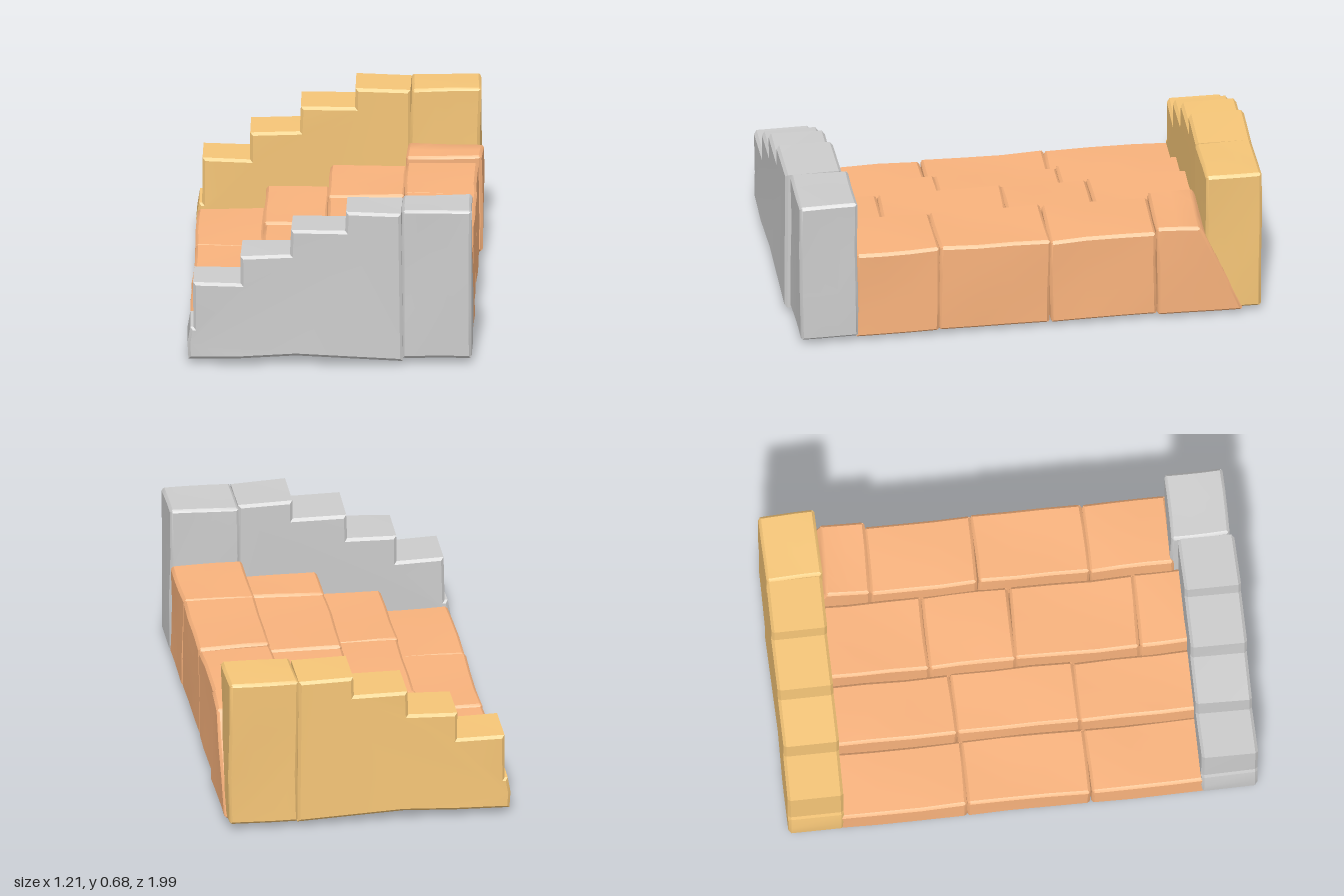
import * as THREE from 'three';
import { mergeVertices, toCreasedNormals } from 'three/addons/utils/BufferGeometryUtils.js';

const mat = (color) => new THREE.MeshStandardMaterial({ color });

// Gentle, repeatable unevenness for the hewn surfaces
const wave = (a, b, c) =>
  Math.sin(a * 9.1 + b * 5.3 + c) * 0.6 + Math.sin(b * 13.7 - a * 7.9 + c * 2.3) * 0.4;

function roughen(geo, amount, seed) {
  const p = geo.attributes.position;
  for (let i = 0; i < p.count; i++) {
    const x = p.getX(i), y = p.getY(i), z = p.getZ(i);
    p.setXYZ(i,
      x + amount * wave(y, z, seed),
      Math.max(0, y + amount * wave(x, z, seed + 2)),
      z + amount * wave(x, y, seed + 4));
  }
  return toCreasedNormals(geo, 0.6);
}

// Stone block between two corners, with chamfered edges
function stone(x0, x1, y0, y1, z0, z1, seed, warp) {
  const b = 0.012, n = 5;
  const lo = [x0, y0, z0], hi = [x1, y1, z1];
  let geo = new THREE.BoxGeometry(1, 1, 1, n, n, n);
  geo.deleteAttribute('normal');
  geo.deleteAttribute('uv');
  geo = mergeVertices(geo);
  const p = geo.attributes.position;
  for (let i = 0; i < p.count; i++) {
    const steps = [0, 1, 2].map((k) => Math.round((p.getComponent(i, k) + 0.5) * n));
    const faces = steps.filter((s) => s === 0 || s === n).length;
    const inset = faces > 1 ? b * 0.45 : 0;
    const v = steps.map((s, k) => {
      if (s === 0) return lo[k] + inset;
      if (s === n) return hi[k] - inset;
      return lo[k] + b + ((s - 1) / (n - 2)) * (hi[k] - lo[k] - 2 * b);
    });
    if (warp) warp(v);
    p.setXYZ(i, v[0], v[1], v[2]);
  }
  return roughen(geo, 0.005, seed);
}

// Stepped outline extruded along z
function wallPiece(points, z0, z1, seed) {
  const b = 0.012;
  const shape = new THREE.Shape(points.map(([x, y]) => new THREE.Vector2(x, y)));
  const geo = new THREE.ExtrudeGeometry(shape, {
    depth: z1 - z0 - 2 * b, bevelThickness: b, bevelSize: b, bevelOffset: -b, bevelSegments: 1,
  });
  geo.translate(0, 0, z0 + b);
  return roughen(geo, 0.004, seed);
}

export function createModel() {
  const model = new THREE.Group();
  const add = (parent, name, geo, material) => {
    const mesh = new THREE.Mesh(geo, material);
    mesh.name = name;
    parent.add(mesh);
  };

  // Treads: four rows of stones, each row higher than the last
  const treads = new THREE.Group();
  treads.name = 'treads';
  model.add(treads);
  const orange = mat(0xf8b27c);
  const rows = [
    { x: [-0.598, -0.31], y: [0.012, 0.15], z: [-0.8, -0.235, 0.285, 0.8] },
    { x: [-0.31, -0.042], y: [0.01, 0.245], z: [-0.8, -0.25, 0.27, 0.8] },
    { x: [-0.042, 0.282], y: [0.018, 0.34], z: [-0.8, -0.335, 0.03, 0.555, 0.8] },
    { x: [0.282, 0.585], y: [0.028, 0.43], z: [-0.82, -0.545, -0.095, 0.375, 0.8] },
  ];
  rows.forEach(({ x, y, z }, r) => {
    for (let i = 0; i + 1 < z.length; i++) {
      const corner = r === 3 && i === 0;
      // The top corner stone is larger and its back end slopes outward to the foot
      const slope = corner && ((v) => {
        if (v[2] < -0.7) v[2] -= 0.09 - 0.42 * (v[1] - 0.03);
      });
      // Keep the end stones flush below the wall face on the high side
      const end = r === 3 && i === z.length - 2 ? 0.73 : z[i + 1];
      const x1 = corner ? 0.6 : x[1];
      const top = y[1] + (corner ? 0.022 : 0.004 * Math.sin(i * 2.1 + r));
      add(treads, 'treadStone', stone(x[0], x1, y[0], top, z[i], end, r * 5 + i, slope), orange);
    }
  });

  // Side walls: stepped body plus a tall end stone
  const body = [
    [-0.6, 0.03], [-0.606, 0.1], [-0.595, 0.17], [-0.582, 0.17], [-0.58, 0.368], [-0.38, 0.366],
    [-0.378, 0.485], [-0.17, 0.49], [-0.165, 0.598], [0.062, 0.594], [0.064, 0.678],
    [0.295, 0.675], [0.3, 0.03], [-0.15, 0.045], [-0.38, 0.038],
  ];
  const walls = [
    { name: 'frontWall', color: 0xcccccc, body: [0.752, 0.99], end: [0.722, 0.968] },
    { name: 'backWall', color: 0xf5c577, body: [-0.99, -0.755], end: [-0.988, -0.75] },
  ];
  walls.forEach((w, i) => {
    const wall = new THREE.Group();
    wall.name = w.name;
    model.add(wall);
    const material = mat(w.color);
    add(wall, 'steppedWall', wallPiece(body, ...w.body, i * 3 + 1), material);
    add(wall, 'endStone', stone(0.295, 0.588, 0.032, 0.682, ...w.end, i * 3 + 2), material);
  });
  return model;
}
